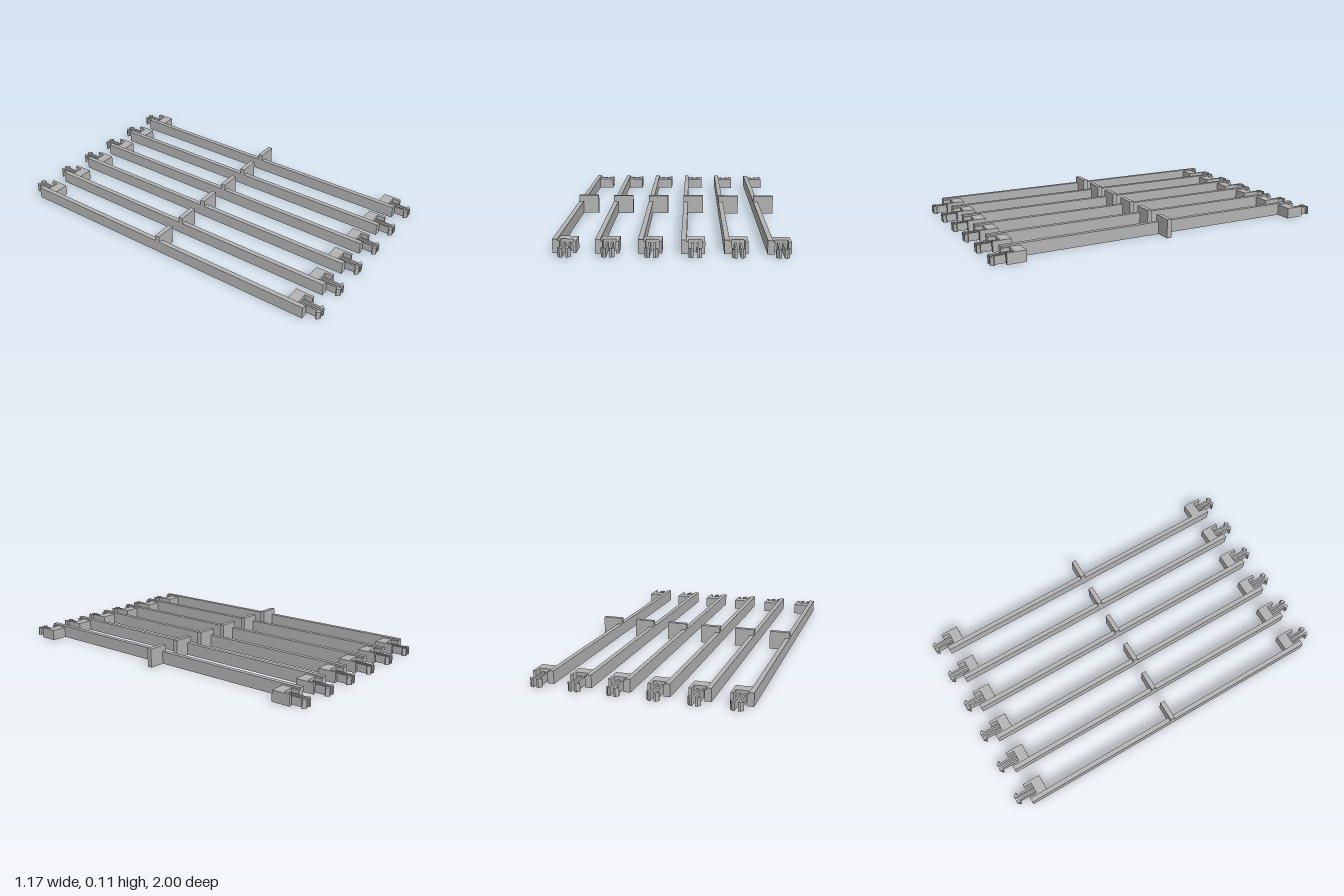
import * as THREE from 'three';

const COUNT = 6, PITCH = 0.21, WIDTH = 0.117;
const BEAM_W = 0.026, BEAM_H = 0.07, BEAM_HALF = 0.924;
const BLOCK_H = 0.061, CLIP_H = 0.045;
const CLIP_X = 0.068; // centre line of the clip, from the bar's right edge

// Plan outline (x across, y outward along the bar) raised from the ground;
// end = 1 points it to the front, end = -1 to the back
function planSolid(points, height, end) {
  const shape = new THREE.Shape(points.map(([x, y]) => new THREE.Vector2(x, y)));
  const geo = new THREE.ExtrudeGeometry(shape, { depth: height, bevelEnabled: false });
  geo.rotateX(end * Math.PI / 2);
  if (end > 0) geo.translate(0, height, 0);
  return geo;
}

// End block with an open notch for the clip
const blockOutline = [
  [BEAM_W, 0.82], [WIDTH, 0.82], [WIDTH, 0.924], [0.101, 0.924],
  [0.101, 0.88], [0.036, 0.88], [0.036, 0.924], [BEAM_W, 0.924],
];

// One barbed prong; side = 1 or -1 sets which way the barb points
function prongOutline(side) {
  const p = [[0.008, 0.88], [0.018, 0.88], [0.018, 0.98], [0.033, 0.98], [0.033, 0.985], [0.02, 1], [0.008, 1]];
  return p.map(([x, y]) => [CLIP_X + side * x, y]);
}

export function createModel() {
  const model = new THREE.Group();
  const grey = new THREE.MeshStandardMaterial({ color: 0xb3b3b3 });
  grey.name = 'grey';

  // Shared part geometries
  const parts = [
    ['beam', new THREE.BoxGeometry(BEAM_W, BEAM_H, 2 * BEAM_HALF).translate(BEAM_W / 2, BEAM_H / 2, 0)],
    ['middlePlate', new THREE.BoxGeometry(WIDTH, 0.106, 0.027).translate(WIDTH / 2, 0.053, 0)],
  ];
  for (const end of [1, -1]) {
    const where = end > 0 ? 'front' : 'back';
    parts.push([where + 'Block', planSolid(blockOutline, BLOCK_H, end)]);
    for (const side of [1, -1]) {
      parts.push([where + (side > 0 ? 'Left' : 'Right') + 'Prong', planSolid(prongOutline(side), CLIP_H, end)]);
    }
  }

  // Row of identical bars
  for (let i = 0; i < COUNT; i++) {
    const bar = new THREE.Group();
    bar.name = 'bar' + (i + 1);
    for (const [name, geometry] of parts) {
      const mesh = new THREE.Mesh(geometry, grey);
      mesh.name = name;
      bar.add(mesh);
    }
    bar.position.x = (i - (COUNT - 1) / 2) * PITCH - WIDTH / 2;
    model.add(bar);
  }
  return model;
}
